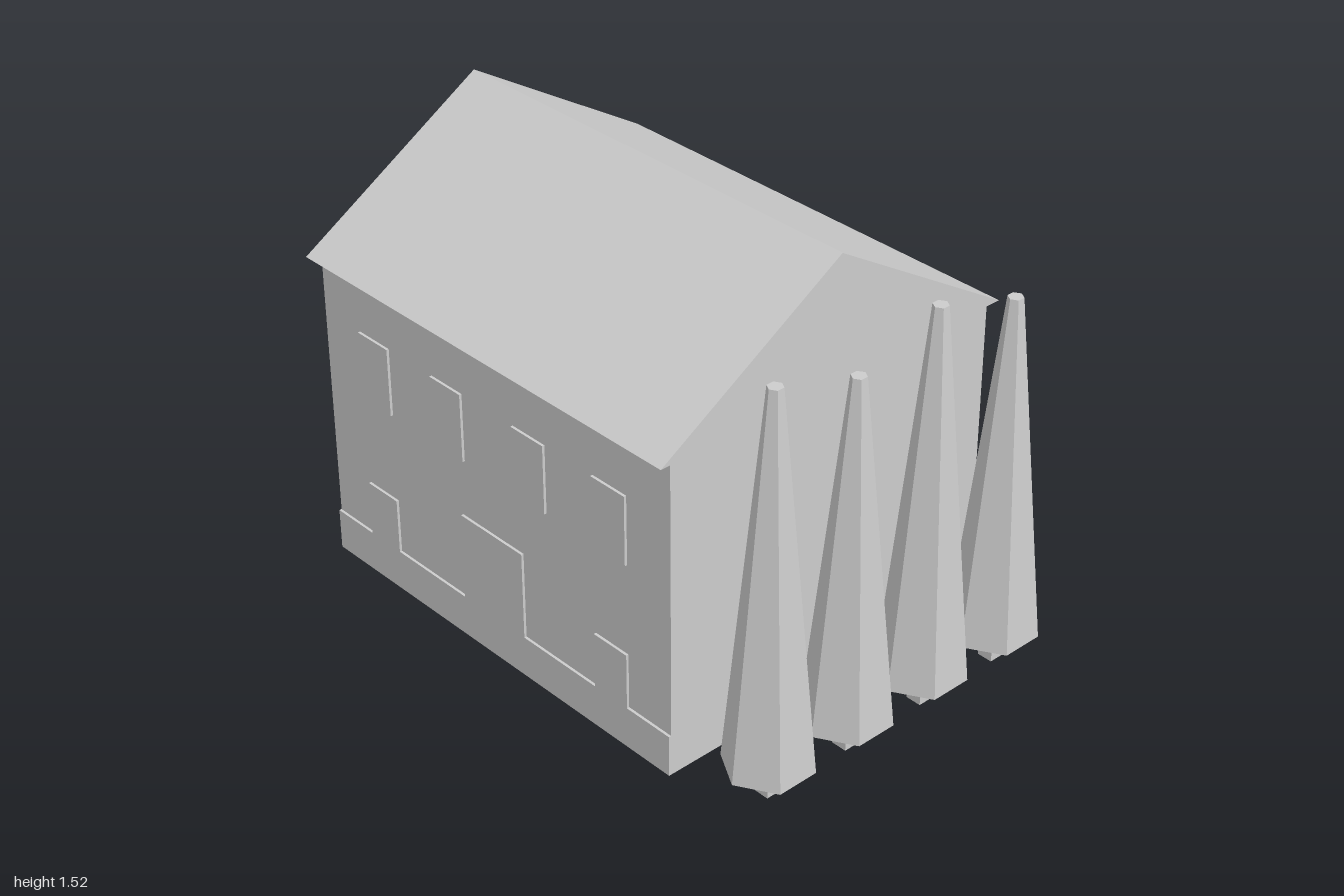
import * as THREE from 'three';

export function createModel() {
  const model = new THREE.Group();
  const grey = new THREE.MeshStandardMaterial({ color: 0xcccccc, flatShading: true });
  grey.name = 'light grey';

  const add = (name, geometry, x, y, z, parent = model) => {
    const mesh = new THREE.Mesh(geometry, grey);
    mesh.name = name;
    mesh.position.set(x, y, z);
    parent.add(mesh);
    return mesh;
  };
  const extrude = (points, depth) => new THREE.ExtrudeGeometry(
    new THREE.Shape(points.map(([x, y]) => new THREE.Vector2(x, y))),
    { depth, bevelEnabled: false });

  // House body
  const wallFront = 0.646;
  add('walls', new THREE.BoxGeometry(1.61, 1.1, wallFront * 2), -0.175, 0.55, 0);

  // Gabled roof, a triangle run along x
  const roof = add('roof', extrude([[-0.69, 1.1], [0.69, 1.1], [0, 1.52]], 1.64), -1, 0, 0);
  roof.rotation.y = Math.PI / 2;

  // Raised base strip stepping up around the lower windows and door
  add('baseTrim', extrude([
    [-0.98, 0], [0.63, 0], [0.63, 0.145],
    [0.445, 0.145], [0.445, 0.34], [0.3, 0.34], [0.3, 0.145],
    [-0.03, 0.145], [-0.03, 0.455], [-0.32, 0.455], [-0.32, 0.145],
    [-0.655, 0.145], [-0.655, 0.34], [-0.8, 0.34], [-0.8, 0.145], [-0.98, 0.145],
  ], 0.009), 0, 0, wallFront);

  // Upper windows
  for (const x of [-0.728, -0.371, 0.014, 0.372]) {
    add('upperWindow', new THREE.BoxGeometry(0.145, 0.24, 0.009), x, 0.78, wallFront + 0.0045);
  }

  // Row of slender six-sided trees, alternating in height
  [[0.486, 1.39], [0.162, 1.29], [-0.162, 1.39], [-0.486, 1.29]].forEach(([z, top]) => {
    const tree = new THREE.Group();
    tree.name = 'tree';
    tree.position.set(0.873, 0, z);
    const height = top - 0.1;
    add('foliage', new THREE.CylinderGeometry(0.025, 0.145, height, 6), 0, 0.1 + height / 2, 0, tree);
    add('trunk', new THREE.BoxGeometry(0.055, 0.1, 0.055), 0, 0.05, 0, tree);
    model.add(tree);
  });

  return model;
}
